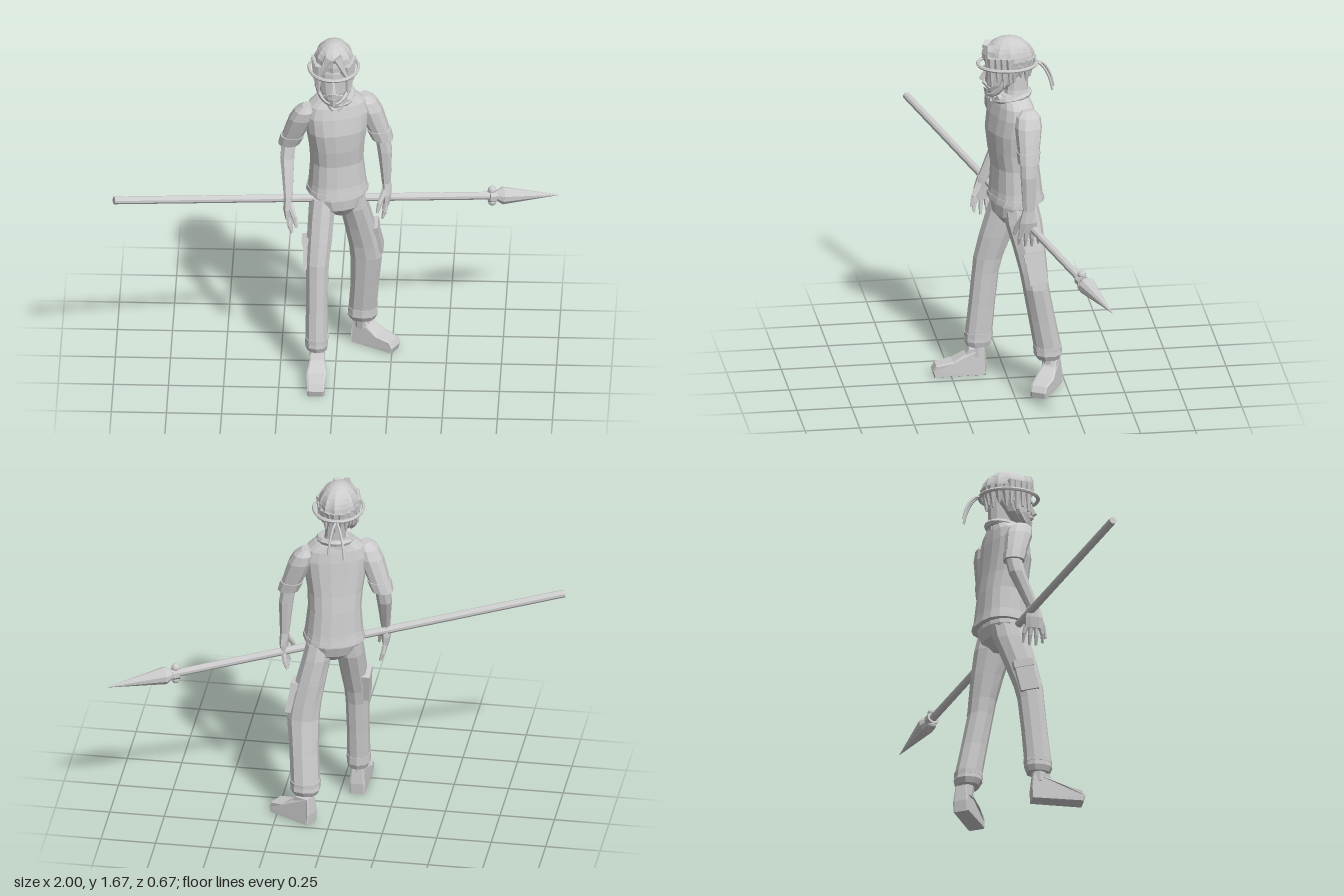
import * as THREE from 'three';

const grey = new THREE.MeshStandardMaterial({ color: 0xcccccc, flatShading: true });
grey.name = 'plain grey';
const V = (x, y, z) => new THREE.Vector3(x, y, z);

function add(parent, name, geometry) {
  const mesh = new THREE.Mesh(geometry, grey);
  mesh.name = name;
  parent.add(mesh);
  return mesh;
}

// Skin over level rings listed bottom to top: [x, y, z, radiusX, radiusZ]
function loft(rings, { sides = 12, yaw = 0, power = 2.3 } = {}) {
  const pos = [], idx = [];
  const c = Math.cos(yaw), s = Math.sin(yaw);
  const soft = (v) => Math.sign(v) * Math.pow(Math.abs(v), 2 / power);
  for (const [x, y, z, rx, rz] of rings) {
    for (let j = 0; j < sides; j++) {
      const a = ((j + 0.5) / sides) * Math.PI * 2;
      const u = soft(Math.cos(a)) * rx, w = soft(Math.sin(a)) * rz;
      pos.push(x + u * c + w * s, y, z - u * s + w * c);
    }
  }
  const last = (rings.length - 1) * sides, mid = rings.length * sides;
  pos.push(...rings[0].slice(0, 3), ...rings[rings.length - 1].slice(0, 3));
  for (let j = 0; j < sides; j++) {
    const k = (j + 1) % sides;
    for (let i = 0; i < last; i += sides) {
      idx.push(i + j, i + sides + j, i + k, i + k, i + sides + j, i + sides + k);
    }
    idx.push(mid, j, k, mid + 1, last + k, last + j);
  }
  const g = new THREE.BufferGeometry();
  g.setAttribute('position', new THREE.Float32BufferAttribute(pos, 3));
  g.setIndex(idx);
  g.computeVertexNormals();
  return g;
}

// Tapered rod from a to b
function rod(parent, name, a, b, ra, rb, sides = 6) {
  const d = b.clone().sub(a);
  const mesh = add(parent, name, new THREE.CylinderGeometry(rb, ra, d.length(), sides));
  mesh.position.copy(a).addScaledVector(d, 0.5);
  mesh.quaternion.setFromUnitVectors(V(0, 1, 0), d.normalize());
  return mesh;
}

function tube(parent, name, points, r, sides = 5) {
  return add(parent, name, new THREE.TubeGeometry(new THREE.CatmullRomCurve3(points), 10, r, sides));
}

function makeFoot(parent, x, z, yaw, length) {
  const foot = new THREE.Group();
  foot.name = 'shoe';
  // Side outline extruded across the foot, narrowed at heel and toe
  const s = new THREE.Shape();
  const L = length;
  s.moveTo(0, 0); s.lineTo(L * 0.97, 0); s.lineTo(L, 0.025); s.lineTo(L * 0.94, 0.05);
  s.lineTo(L * 0.62, 0.065); s.lineTo(L * 0.36, 0.1); s.lineTo(L * 0.3, 0.125);
  s.lineTo(0.005, 0.125); s.lineTo(-0.003, 0.05);
  const g = new THREE.ExtrudeGeometry(s, { depth: 0.068, bevelEnabled: true, bevelThickness: 0.009, bevelSize: 0.004, bevelSegments: 1 });
  g.translate(0, 0.004, -0.034);
  g.rotateY(-Math.PI / 2);
  const p = g.attributes.position;
  for (let i = 0; i < p.count; i++) {
    const t = p.getZ(i) / L, y = p.getY(i);
    const w = 0.75 + 0.3 * Math.sin(Math.PI * Math.min(1, Math.max(0, t * 0.75 + 0.1)));
    p.setX(i, p.getX(i) * w * (y > 0.09 ? 0.75 : 1));
  }
  g.computeVertexNormals();
  add(foot, 'shoeBody', g);
  foot.position.set(x, 0, z);
  foot.rotation.y = yaw;
  parent.add(foot);
}

function makeArm(parent, name, shoulder, elbow, wrist, side) {
  const arm = new THREE.Group();
  arm.name = name;
  const mix = (a, b, t, rx, rz) => [...a.clone().lerp(b, t).toArray(), rx, rz];
  // Bare arm, sleeve and turned cuff
  add(arm, 'forearm', loft([
    mix(wrist, elbow, 0, 0.021, 0.028), mix(wrist, elbow, 0.45, 0.028, 0.034),
    mix(wrist, elbow, 0.8, 0.034, 0.038), mix(elbow, shoulder, 0.1, 0.034, 0.037),
    mix(elbow, shoulder, 0.35, 0.036, 0.038)], { sides: 8 }));
  add(arm, 'sleeve', loft([
    mix(elbow, shoulder, 0.12, 0.045, 0.045), mix(elbow, shoulder, 0.5, 0.052, 0.055),
    mix(elbow, shoulder, 0.8, 0.055, 0.062), mix(elbow, shoulder, 1, 0.046, 0.055),
    mix(elbow, shoulder, 1.12, 0.02, 0.03)], { sides: 10 }));
  add(arm, 'sleeveCuff', loft([
    mix(elbow, shoulder, 0.1, 0.049, 0.049), mix(elbow, shoulder, 0.32, 0.055, 0.055)], { sides: 10 }));
  // Hand with spread fingers
  const w = wrist;
  add(arm, 'palm', loft([
    [w.x, w.y - 0.1, w.z + 0.005, 0.014, 0.042], [w.x + side * 0.004, w.y - 0.05, w.z + 0.003, 0.02, 0.042],
    [w.x, w.y + 0.01, w.z, 0.021, 0.028]], { sides: 8 }));
  for (let i = 0; i < 4; i++) {
    const f = i - 1.5, len = 0.09 - Math.abs(f) * 0.012;
    const a = V(w.x, w.y - 0.09, w.z + f * 0.022);
    const b = V(w.x - side * 0.006, w.y - 0.09 - len * 0.5, w.z + f * 0.028);
    const c = V(w.x - side * 0.018, w.y - 0.09 - len, w.z + f * 0.03);
    rod(arm, 'finger', a, b, 0.012, 0.01);
    rod(arm, 'fingertip', b, c, 0.01, 0.006);
  }
  const k = V(w.x - side * 0.03, w.y - 0.08, w.z + 0.05);
  rod(arm, 'thumb', V(w.x - side * 0.005, w.y - 0.025, w.z + 0.02), k, 0.016, 0.012);
  rod(arm, 'thumbTip', k, V(w.x - side * 0.04, w.y - 0.125, w.z + 0.062), 0.012, 0.007);
  parent.add(arm);
}

function makeHead(parent) {
  const head = new THREE.Group();
  head.name = 'head';
  const cx = -0.01;
  add(head, 'neck', loft([[0.005, 1.36, -0.035, 0.06, 0.06], [0, 1.42, -0.04, 0.047, 0.052], [cx, 1.52, -0.045, 0.048, 0.055]], { sides: 10 }));
  add(head, 'face', loft([
    [cx, 1.39, 0.07, 0.022, 0.022], [cx, 1.415, 0.055, 0.046, 0.042], [cx, 1.45, 0.035, 0.064, 0.066],
    [cx, 1.5, 0.015, 0.073, 0.086], [cx, 1.55, 0, 0.078, 0.1], [cx, 1.62, -0.01, 0.07, 0.09]], { sides: 14 }));
  // Features
  rod(head, 'nose', V(cx, 1.463, 0.118), V(cx, 1.52, 0.094), 0.014, 0.007, 5);
  for (const s of [-1, 1]) {
    rod(head, 'brow', V(cx + s * 0.014, 1.518, 0.102), V(cx + s * 0.052, 1.522, 0.08), 0.008, 0.005, 5);
    rod(head, 'moustache', V(cx, 1.45, 0.108), V(cx + s * 0.042, 1.432, 0.084), 0.009, 0.006, 5);
    // Jaw beard and the hair hanging beside the face
    tube(head, 'jawBeard', [V(cx + s * 0.074, 1.5, 0.02), V(cx + s * 0.066, 1.44, 0.04), V(cx + s * 0.036, 1.402, 0.072), V(cx, 1.39, 0.088)], 0.013, 6);
    for (let i = 0; i < 4; i++) {
      const z = 0.082 - i * 0.027;
      const x = cx + s * (0.066 + i * 0.007);
      rod(head, 'sideLock', V(x, 1.45 + (i % 2) * 0.02, z - 0.003), V(x * 0.98, 1.59, z), 0.006, 0.02, 6);
    }
    rod(head, 'fringeLock', V(cx + s * 0.066, 1.53, 0.09), V(cx + s * 0.012, 1.628, 0.082), 0.01, 0.03, 6);
  }
  rod(head, 'chinBeard', V(cx, 1.382, 0.09), V(cx, 1.422, 0.085), 0.012, 0.024, 6);
  // Hair cap combed back in ridges, tilted up off the forehead
  const cap = new THREE.SphereGeometry(1, 36, 8, 0, Math.PI * 2, 0, Math.PI * 0.56);
  const p = cap.attributes.position;
  for (let i = 0; i < p.count; i++) {
    const a = Math.atan2(p.getZ(i), p.getX(i)), y = p.getY(i);
    const r = 1 + 0.045 * Math.cos(a * 12) * Math.min(1, 2 * (1 - y));
    const lift = y < 0.3 && p.getZ(i) > 0.55 ? 0.25 : 0;
    p.setXYZ(i, p.getX(i) * 0.09 * r, (y + lift) * 0.108, p.getZ(i) * 0.117 * r);
  }
  cap.computeVertexNormals();
  add(head, 'hairCap', cap).position.set(cx, 1.56, -0.005);
  for (let i = 0; i < 9; i++) {
    const a = Math.PI * (1.04 + 0.115 * i), c = Math.cos(a), s = Math.sin(a);
    rod(head, 'napeLock', V(cx + c * 0.07, 1.465 + (i % 2) * 0.02, -0.01 + s * 0.092), V(cx + c * 0.072, 1.57, -0.01 + s * 0.098), 0.004, 0.025, 6);
  }
  // Headband ring with two loose tails behind
  const band = add(head, 'headband', new THREE.TorusGeometry(0.125, 0.0085, 6, 32));
  band.rotation.x = Math.PI / 2;
  band.scale.set(0.9, 1.07, 1);
  band.position.set(cx, 1.537, 0);
  tube(head, 'bandTail', [V(-0.02, 1.537, -0.125), V(-0.04, 1.515, -0.165), V(-0.06, 1.46, -0.2), V(-0.07, 1.39, -0.22)], 0.006);
  tube(head, 'bandTail', [V(-0.02, 1.537, -0.125), V(-0.01, 1.515, -0.16), V(0, 1.46, -0.19), V(0.005, 1.4, -0.205)], 0.006);
  parent.add(head);
}

export function createModel() {
  const model = new THREE.Group();
  model.name = 'spearCarrier';
  const yaw = 0.35;

  // Shirt, turned a little to its left
  add(model, 'shirt', loft([
    [0.005, 0.895, -0.035, 0.138, 0.115], [0.005, 0.94, -0.035, 0.13, 0.108], [0.003, 1.05, -0.032, 0.12, 0.1],
    [0.003, 1.13, -0.02, 0.125, 0.1], [0.003, 1.22, -0.012, 0.14, 0.098], [0.003, 1.3, -0.015, 0.148, 0.088],
    [0.003, 1.35, -0.018, 0.132, 0.078], [0.003, 1.38, -0.02, 0.095, 0.07], [0.003, 1.4, -0.022, 0.06, 0.06]],
  { sides: 16, yaw, power: 2.5 }));
  add(model, 'hem', loft([[0.005, 0.89, -0.035, 0.141, 0.119], [0.005, 0.912, -0.035, 0.138, 0.115]], { sides: 16, yaw, power: 2.5 }));
  const collar = add(model, 'collar', new THREE.TorusGeometry(0.072, 0.016, 6, 14));
  collar.rotation.set(Math.PI / 2 + 0.18, 0, 0);
  collar.scale.y = 1.08;
  collar.position.set(0.003, 1.388, -0.018);
  for (const s of [-1, 1]) {
    rod(model, 'collarPoint', V(s * 0.05, 1.395, 0.04), V(s * 0.012, 1.35, 0.075), 0.018, 0.006, 4);
  }

  makeArm(model, 'rightArm', V(-0.14, 1.33, 0.03), V(-0.222, 1.11, -0.015), V(-0.213, 0.9, 0.08), -1);
  makeArm(model, 'leftArm', V(0.137, 1.33, -0.075), V(0.218, 1.11, -0.065), V(0.227, 0.9, -0.065), 1);
  makeHead(model);

  // Trousers
  add(model, 'trouserSeat', loft([
    [0.02, 0.775, -0.02, 0.04, 0.045], [0.01, 0.82, -0.025, 0.105, 0.09],
    [0.005, 0.87, -0.03, 0.125, 0.1], [0.005, 0.92, -0.033, 0.12, 0.095]], { sides: 14, yaw }));
  const legs = {
    rightTrouserLeg: [[-0.081, 0.14, 0.123, 0.046, 0.054], [-0.083, 0.165, 0.123, 0.054, 0.065], [-0.083, 0.2, 0.121, 0.052, 0.063],
      [-0.083, 0.34, 0.107, 0.051, 0.061], [-0.082, 0.5, 0.09, 0.053, 0.062], [-0.08, 0.57, 0.078, 0.055, 0.068],
      [-0.072, 0.68, 0.045, 0.06, 0.077], [-0.064, 0.8, 0.005, 0.062, 0.085], [-0.058, 0.87, -0.01, 0.06, 0.08]],
    leftTrouserLeg: [[0.115, 0.14, -0.168, 0.058, 0.052], [0.115, 0.165, -0.167, 0.07, 0.066], [0.116, 0.2, -0.165, 0.067, 0.063],
      [0.126, 0.34, -0.138, 0.067, 0.061], [0.134, 0.5, -0.108, 0.075, 0.06], [0.126, 0.57, -0.1, 0.073, 0.064],
      [0.104, 0.68, -0.083, 0.07, 0.074], [0.078, 0.8, -0.06, 0.066, 0.085], [0.068, 0.87, -0.05, 0.06, 0.08]],
  };
  for (const [name, rings] of Object.entries(legs)) {
    add(model, name, loft(rings, { sides: 10 }));
    // Gathered ankle band
    const [x, , z, rx, rz] = rings[2];
    add(model, 'ankleBand', loft([[x, 0.185, z, rx + 0.003, rz + 0.003], [x, 0.205, z, rx + 0.003, rz + 0.003]], { sides: 10 }));
  }
  // Thigh pockets with flaps
  for (const [x, z, lean, tilt] of [[-0.132, 0.06, 0.25, 0.03], [0.185, -0.105, -0.16, 0.2]]) {
    const pocket = new THREE.Group();
    pocket.name = 'thighPocket';
    add(pocket, 'pocketBag', new THREE.BoxGeometry(0.028, 0.14, 0.085));
    add(pocket, 'pocketFlap', new THREE.BoxGeometry(0.036, 0.035, 0.092)).position.y = 0.06;
    pocket.position.set(x, 0.6, z);
    pocket.rotation.set(-lean, 0, tilt);
    model.add(pocket);
  }

  // Ankles and shoes
  rod(model, 'rightAnkle', V(-0.08, 0.09, 0.13), V(-0.08, 0.17, 0.125), 0.036, 0.034, 8);
  rod(model, 'leftAnkle', V(0.115, 0.09, -0.18), V(0.115, 0.17, -0.168), 0.036, 0.034, 8);
  makeFoot(model, -0.08, 0.095, 0, 0.236);
  makeFoot(model, 0.082, -0.205, 1.06, 0.212);

  // Spear held low across the back
  const spear = new THREE.Group();
  spear.name = 'spear';
  const butt = V(-0.995, 1.0, 0.318), tip = V(1, 0.697, -0.336);
  const at = (t) => butt.clone().lerp(tip, t);
  rod(spear, 'shaft', at(0), at(0.88), 0.018, 0.018, 10);
  rod(spear, 'bladeBase', at(0.855), at(0.872), 0.018, 0.041, 10);
  rod(spear, 'blade', at(0.872), at(1), 0.041, 0.001, 10);
  const knot = rod(spear, 'binding', at(0.842), at(0.857), 0.03, 0.03, 8);
  for (const s of [-1, 1]) {
    const bead = add(spear, 'bindingKnot', new THREE.IcosahedronGeometry(0.02, 1));
    bead.position.copy(knot.position).add(V(0, s * 0.03, 0));
  }
  model.add(spear);
  return model;
}
